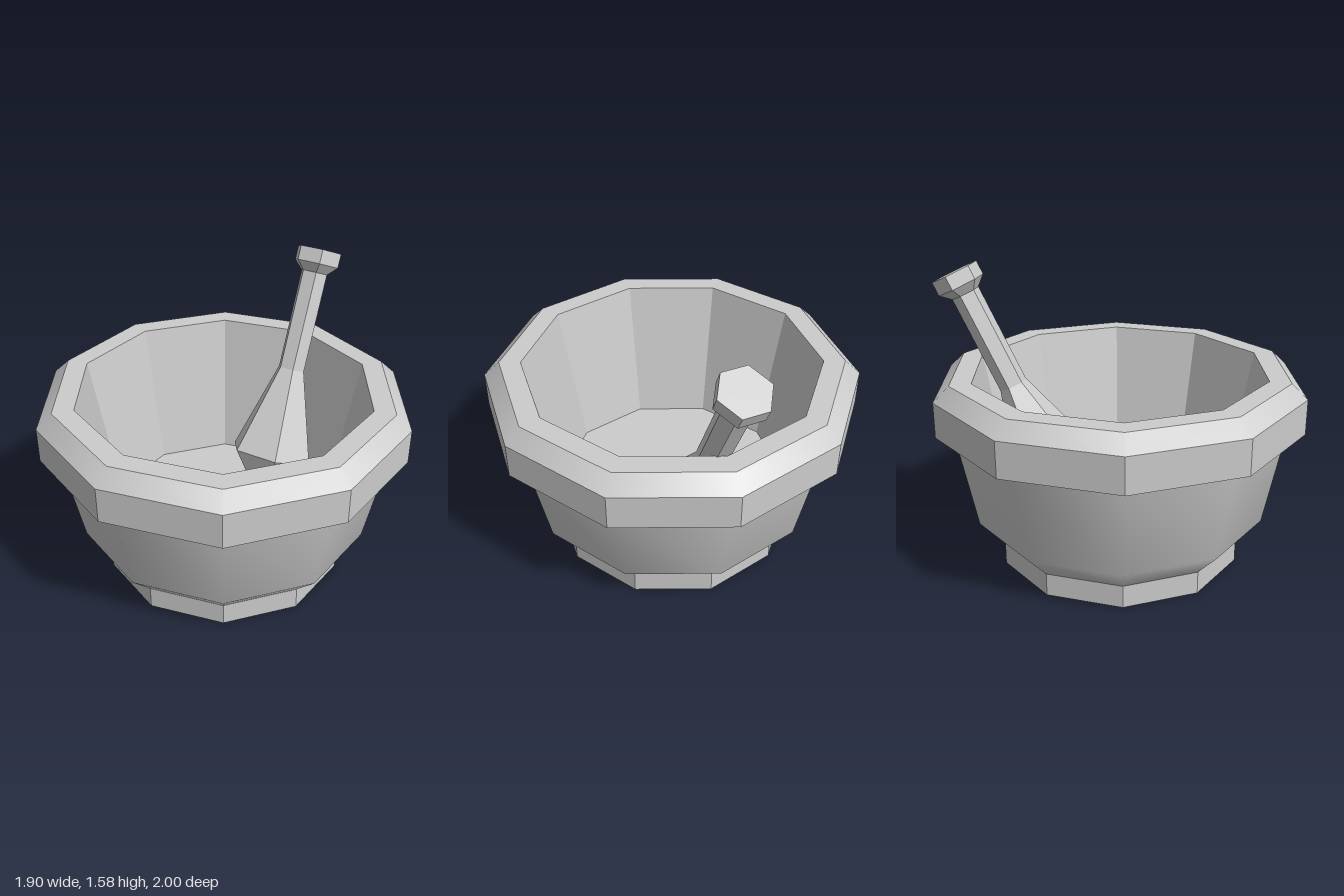
import * as THREE from 'three';

const flat = new THREE.MeshStandardMaterial({ color: 0xcccccc, flatShading: true });
const smooth = new THREE.MeshStandardMaterial({ color: 0xcccccc });

// Faceted turned part from [radius, height] pairs, listed bottom-up on the outside
function turned(name, profile, sides, material) {
  const points = profile.map(([r, y]) => new THREE.Vector2(r, y));
  const mesh = new THREE.Mesh(new THREE.LatheGeometry(points, sides), material);
  mesh.name = name;
  return mesh;
}

export function createModel() {
  const model = new THREE.Group();
  model.name = 'mortarAndPestle';

  // Ten-sided mortar
  const mortar = new THREE.Group();
  mortar.name = 'mortar';
  mortar.add(
    turned('foot', [[0, 0], [0.667, 0], [0.667, 0.125]], 10, flat),
    turned('bowlBody', [[0.667, 0.125], [0.8, 0.265], [0.905, 0.795]], 10, smooth),
    turned('rimBand', [[0.905, 0.795], [1, 0.795], [1, 0.985]], 10, flat),
    turned('rimBevel', [[1, 0.985], [0.915, 1.065]], 10, smooth),
    turned('rimTop', [[0.915, 1.065], [0.8, 1.065]], 10, flat),
    turned('bowlInside', [[0.8, 1.065], [0.645, 0.27], [0, 0.27]], 10, flat)
  );
  model.add(mortar);

  // Six-sided pestle leaning towards the back left; local origin at the widest part of its head
  const pestle = new THREE.Group();
  pestle.name = 'pestle';
  pestle.add(
    turned('pestleHead', [[0, -0.12], [0.15, -0.12], [0.25, 0], [0.08, 0.52]], 6, flat),
    turned('pestleShaft', [[0.08, 0.52], [0.08, 1.09]], 6, flat),
    turned('pestleKnob', [[0.08, 1.09], [0.135, 1.14], [0.135, 1.22], [0, 1.22]], 6, flat)
  );
  const lean = new THREE.Vector3(0.24, 1, -0.42).normalize();
  pestle.quaternion.setFromUnitVectors(new THREE.Vector3(0, 1, 0), lean);
  pestle.position.set(0.278, 0.43, -0.302);
  model.add(pestle);

  return model;
}
